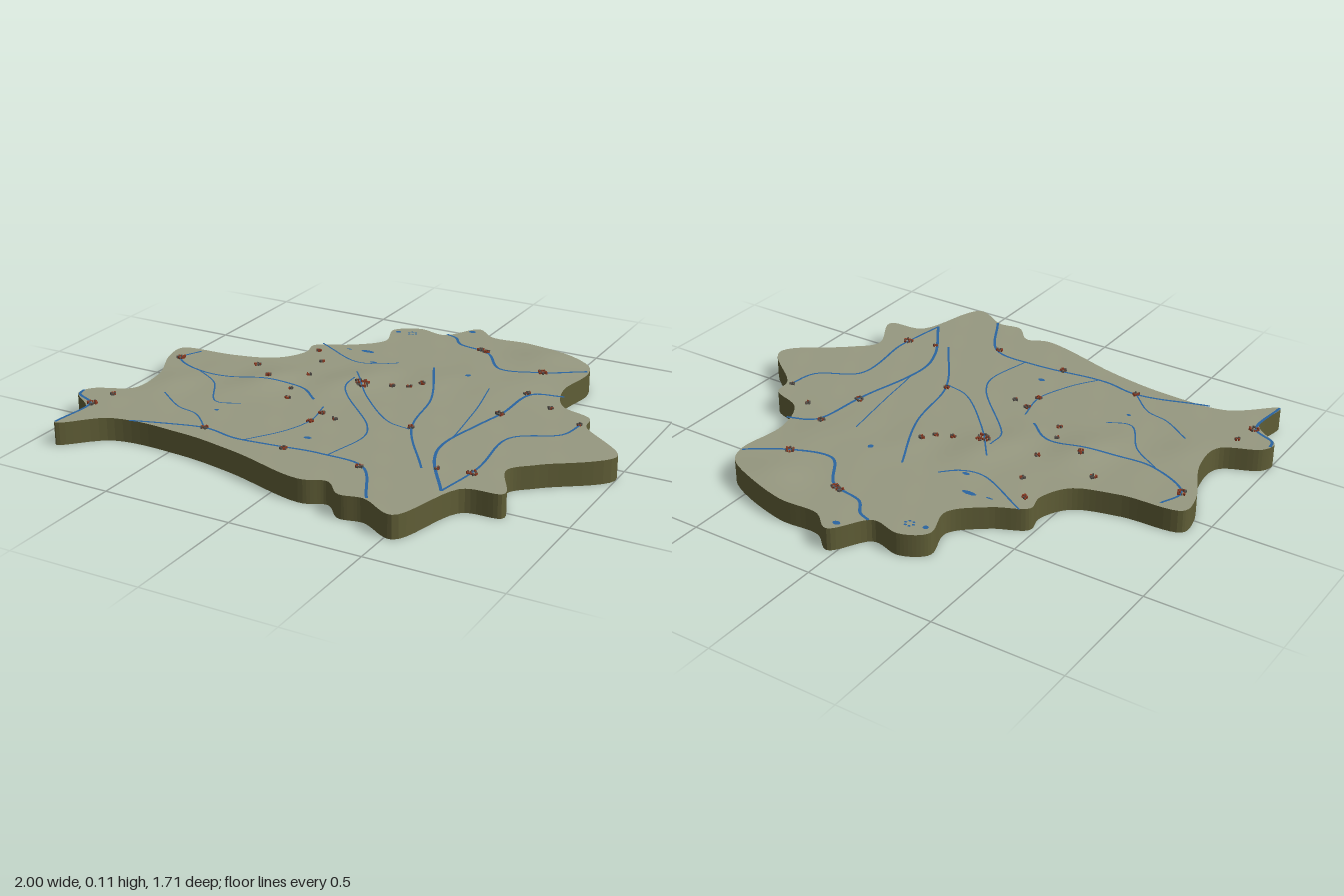
import * as THREE from 'three';
import { mergeGeometries } from 'three/addons/utils/BufferGeometryUtils.js';

const mat = (name, color, side = THREE.FrontSide) => {
  const m = new THREE.MeshStandardMaterial({ color, side });
  m.name = name;
  return m;
};

// Border of the land, x and z in hundredths
const BORDER = [
  [3, -86], [12, -80], [29, -80], [58, -69], [62, -60], [60, -40], [66, -25], [79, -19], [81, -11], [100, 8],
  [79, 27], [71, 36], [78, 54], [64, 57], [53, 85], [39, 79], [30, 80], [22, 73], [13, 76], [-21, 67],
  [-45, 63], [-74, 64], [-90, 77], [-89, 60], [-100, 50], [-98, 44], [-84, 36], [-84, 21], [-93, 0], [-93, -9],
  [-70, -12], [-53, -18], [-47, -29], [-48, -37], [-36, -44], [-25, -55], [-28, -69], [-19, -75], [-7, -73],
];

// Rolling hills along a diagonal upland and on a northern rise
function ground(x, z) {
  const along = 0.85 * x - 0.5 * z, across = 0.5 * x + 0.85 * z;
  const bump = (a, r) => Math.exp(-a * a / (r * r));
  const upland = bump(across + 0.16, 0.13) * bump(along + 0.25, 0.6) * (0.012 + 0.005 * Math.cos(20 * x + 9));
  const north = 0.012 * bump(x - 0.42, 0.12) * bump(z + 0.68, 0.09);
  const east = 0.008 * bump(x - 0.4, 0.15) * bump(z + 0.3, 0.13);
  return 0.089 + upland + north + east + 0.0008 * Math.sin(17 * x + 9 * z) * Math.sin(23 * z - 11 * x);
}

function groundNormal(x, z) {
  const e = 0.004;
  return new THREE.Vector3(ground(x - e, z) - ground(x + e, z), 2 * e, ground(x, z - e) - ground(x, z + e)).normalize();
}

function curveThrough(points, closed) {
  return new THREE.CatmullRomCurve3(points.map(([x, z]) => new THREE.Vector3(x / 100, 0, z / 100)), closed);
}

// Lays a flat geometry in the xz plane onto the ground
function drape(geo, lift) {
  const p = geo.attributes.position, n = [];
  for (let i = 0; i < p.count; i++) {
    p.setY(i, ground(p.getX(i), p.getZ(i)) + lift);
    n.push(...groundNormal(p.getX(i), p.getZ(i)).toArray());
  }
  geo.setAttribute('normal', new THREE.Float32BufferAttribute(n, 3));
  return geo;
}

function fromTriangles(positions) {
  const g = new THREE.BufferGeometry();
  g.setAttribute('position', new THREE.Float32BufferAttribute(positions, 3));
  g.computeVertexNormals();
  return g;
}

// Splits the longest edge until every triangle is small enough
function subdivide(a, b, c, limit, out) {
  const ab = a.distanceTo(b), bc = b.distanceTo(c), ca = c.distanceTo(a), m = Math.max(ab, bc, ca);
  if (m <= limit) { out.push(a.x, 0, a.y, b.x, 0, b.y, c.x, 0, c.y); return; }
  if (m === bc) [a, b, c] = [b, c, a];
  else if (m === ca) [a, b, c] = [c, a, b];
  const mid = a.clone().add(b).multiplyScalar(0.5);
  subdivide(a, mid, c, limit, out);
  subdivide(mid, b, c, limit, out);
}

function ribbon(width, points) {
  const curve = curveThrough(points, false), n = Math.ceil(curve.getLength() / 0.015), pos = [], sides = [];
  for (let i = 0; i <= n; i++) {
    const p = curve.getPointAt(i / n), t = curve.getTangentAt(i / n);
    const s = new THREE.Vector3(t.z, 0, -t.x).multiplyScalar(width / 2);
    sides.push([p.clone().add(s), p.clone().sub(s)]);
  }
  for (let i = 0; i < n; i++) {
    const [a, b] = sides[i], [c, d] = sides[i + 1];
    for (const v of [a, b, c, b, d, c]) pos.push(v.x, v.y, v.z);
  }
  return drape(fromTriangles(pos), 0.002);
}

function lake(x, z, halfLength, halfDepth) {
  const g = new THREE.CircleGeometry(1, 9).rotateX(-Math.PI / 2);
  return drape(g.scale(halfLength / 100, 1, halfDepth / 100).translate(x / 100, 0, z / 100), 0.002);
}

export function createModel() {
  const group = new THREE.Group();
  const earth = mat('earth', 0x5f5d36);
  const grass = mat('grass', 0x969880);
  const water = mat('water', 0x2a64a0, THREE.DoubleSide);
  const brick = mat('brick', 0x8a3a22);
  const stone = mat('stone', 0x55504a);
  const add = (name, geo, material) => {
    const mesh = new THREE.Mesh(geo, material);
    mesh.name = name;
    group.add(mesh);
  };

  // Land: top surface, underside and walls from one outline
  const rim = curveThrough(BORDER, true).getPoints(320).slice(0, -1);
  const rim2 = rim.map((p) => new THREE.Vector2(p.x, p.z));
  const top = [], bottom = [], wall = [];
  for (const [i, j, k] of THREE.ShapeUtils.triangulateShape(rim2, [])) {
    let [a, b, c] = [rim2[i], rim2[j], rim2[k]];
    if ((b.x - a.x) * (c.y - a.y) - (b.y - a.y) * (c.x - a.x) > 0) [b, c] = [c, b];
    subdivide(a, b, c, 0.035, top);
    for (const v of [a, c, b]) bottom.push(v.x, 0, v.y);
  }
  rim.forEach((p, i) => {
    const q = rim[(i + 1) % rim.length], hp = ground(p.x, p.z), hq = ground(q.x, q.z);
    wall.push(p.x, 0, p.z, p.x, hp, p.z, q.x, 0, q.z, q.x, 0, q.z, p.x, hp, p.z, q.x, hq, q.z);
  });
  add('terrain', drape(fromTriangles(top), 0), grass);
  add('underside', fromTriangles(bottom), earth);
  add('sideWall', fromTriangles(wall), earth);

  // Rivers
  const river = (name, width, ...path) => add(name, ribbon(width, path), water);
  river('northRiver', 0.011, [-6, -74], [-1, -72], [4, -66], [18, -62], [30, -48], [46, -52], [61, -61.5]);
  river('mainRiver', 0.011, [63, -33.5], [52, -29], [49, -7], [42.5, 27], [45.5, 40], [59, 62]);
  river('eastRiver', 0.009, [78.5, -11.5], [76, 0], [61, 11], [62, 40], [59, 62]);
  river('southRiver', 0.01, [-67, 63], [-39, 55.5], [-24, 58], [8, 55], [26, 57], [40, 78.5]);
  river('westRiver', 0.009, [-84, -9], [-87, 1], [-69, 10.5], [-29, 6], [-18, 14]);
  river('borderRiver', 0.011, [-99.5, 47], [-98.5, 51], [-89.5, 56.5], [-90, 76.5]);
  river('centralRiver', 0.008, [6.5, -37], [20, -8], [26, 19.5], [45, 49]);
  river('cityStream', 0.006, [-17, -17], [-2, 2], [16.5, 19], [26, 21.5]);
  river('innerStream', 0.006, [-14, -10], [-13, -1], [11, 25.5], [15, 35], [11.5, 55]);
  river('northWestStream', 0.007, [-45.5, -40], [-22.5, -28], [-14, -30], [-8, -35]);
  river('eastStream', 0.005, [35.5, -26], [39, -8], [43, 20]);
  river('westStream', 0.006, [-72, 10], [-60, 18], [-49, 33], [-40, 30]);
  river('southWestStream', 0.006, [-71, 35], [-58.5, 43.5], [-49.5, 46], [-39, 55.5]);
  river('southStream', 0.006, [-11.5, 18], [-9, 32], [-13.5, 46], [-21, 58]);

  // Lakes, and a ring of ponds
  const lakes = [
    lake(2, -81.5, 1.5, 1.2), lake(-25, -67, 1.1, 1.1), lake(-25, -40.5, 3, 1.1), lake(-33, -39.5, 1.5, 0.4),
    lake(22.5, -34.5, 1.1, 1.2), lake(-17, -30.5, 1.6, 0.8), lake(-2, 45.5, 1.5, 1), lake(-44.5, 39.5, 0.9, 0.7),
  ];
  for (let i = 0; i < 6; i++) lakes.push(lake(-19 + 1.6 * Math.cos(i * 1.05), -68 + 1.6 * Math.sin(i * 1.05), 0.6, 0.5));
  add('lakes', mergeGeometries(lakes), water);

  // Towns: clusters of small houses, mixed brick and stone
  let seed = 7;
  const rand = () => (seed = (seed * 16807) % 2147483647) / 2147483647;
  const houses = [[], []];
  const towns = (radius, ...centres) => centres.forEach(([cx, cz]) => {
    for (let i = 0; i < radius * 700; i++) {
      const a = i * 2.4, d = radius * Math.sqrt(0.12 + 0.88 * rand()) * 0.9;
      const x = cx / 100 + d * Math.cos(a), z = cz / 100 + d * Math.sin(a), h = 0.006 + 0.005 * rand();
      const g = new THREE.BoxGeometry(0.005 + 0.003 * rand(), h, 0.005 + 0.002 * rand());
      g.rotateY(rand() * 3).translate(x, ground(x, z) + h / 2 - 0.001, z);
      houses[rand() < 0.55 ? 0 : 1].push(g);
    }
  });
  towns(0.033, [-9, -7]);
  towns(0.02, [46, -52], [48.5, -7], [62, 44.5], [-87, 1], [-89, 56]);
  towns(0.014, [14, -64], [17, -63], [50, -28.5], [10.5, -18.5], [26, 19.5], [26, 58], [-5, 57], [-39, 55.5]);
  towns(0.013, [-9, 23.5], [-9, 32], [-44.5, 3.5], [-56, -7], [-43, -32]);
  towns(0.01, [-35.5, -21.5], [-32, -6], [-31, 9], [-27.5, 17], [-2, 26], [50, 47], [-87, 45.5]);
  towns(0.0095, [63, -20.5], [7.5, -14], [1.5, -11.5], [78, -11.5]);
  add('brickHouses', mergeGeometries(houses[0]), brick);
  add('stoneHouses', mergeGeometries(houses[1]), stone);
  return group;
}
